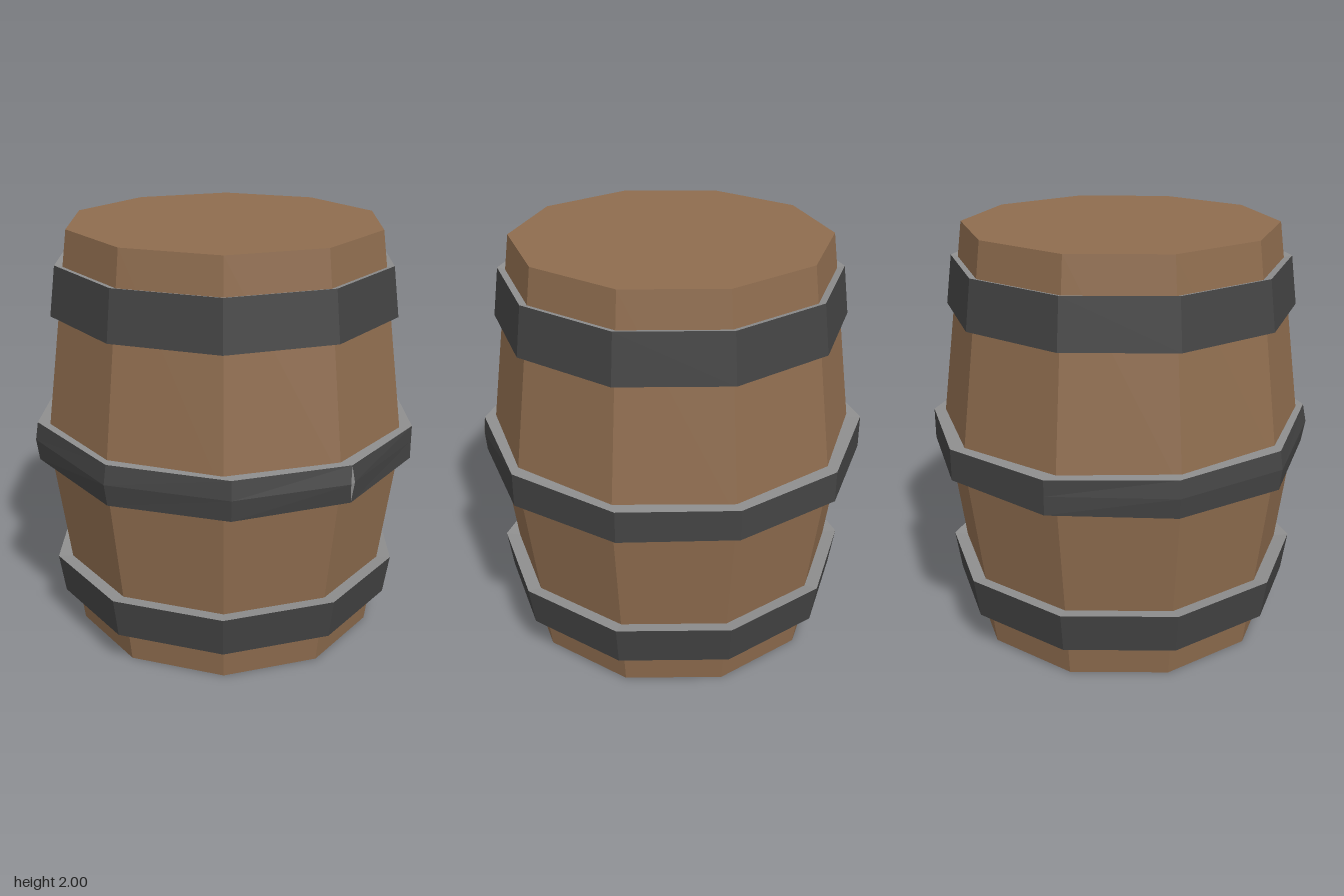
import * as THREE from 'three';

const SIDES = 10;
const material = (color) => new THREE.MeshStandardMaterial({
  color, flatShading: true, roughness: 0.9, side: THREE.DoubleSide,
});

// Ten-sided surface of revolution with a corner on the x axis
function turned(name, profile, mat) {
  const points = profile.map(([r, y]) => new THREE.Vector2(r, y));
  const mesh = new THREE.Mesh(new THREE.LatheGeometry(points, SIDES, Math.PI / 2), mat);
  mesh.name = name;
  return mesh;
}

// Skin between columns of points, each column running bottom to top
function skin(name, columns, mat) {
  const pos = [];
  for (let i = 0; i < columns.length - 1; i++) {
    const p = columns[i], q = columns[i + 1];
    for (let j = 0; j < p.length - 1; j++) {
      for (const v of [p[j], q[j], q[j + 1], p[j], q[j + 1], p[j + 1]]) pos.push(...v);
    }
  }
  const geo = new THREE.BufferGeometry();
  geo.setAttribute('position', new THREE.Float32BufferAttribute(pos, 3));
  geo.computeVertexNormals();
  const mesh = new THREE.Mesh(geo, mat);
  mesh.name = name;
  return mesh;
}

// Sloping hoop: dark outer face, pale top and bottom edges
function hoop(name, rLow, yLow, rHigh, yHigh, inLow, inHigh, dark, pale) {
  const group = new THREE.Group();
  group.name = name;
  group.add(
    turned(name + 'Face', [[rLow, yLow], [rHigh, yHigh]], dark),
    turned(name + 'TopEdge', [[rHigh, yHigh], [inHigh, yHigh - 0.01]], pale),
    turned(name + 'BottomEdge', [[inLow, yLow + 0.01], [rLow, yLow]], pale),
  );
  group.position.x = -0.003;
  return group;
}

// Hand-bent middle hoop, closed by a small split at the front
function middleHoop(dark, pale) {
  // x, z, outward bulge at half height
  const corners = [
    [-0.265, 0.885, 1.01], [0.32, 0.87, 1], [0.77, 0.52, 1], [0.93, 0, 1],
    [0.77, -0.53, 1], [0.32, -0.88, 1], [-0.26, -0.89, 1.012], [-0.725, -0.575, 1.015],
    [-0.912, 0.03, 1.02], [-0.72, 0.565, 1.015], [-0.265, 0.885, 1.01],
  ];
  const last = corners.length - 1;
  const face = [], top = [], bottom = [];
  corners.forEach(([x, z, bulge], i) => {
    const yTop = 1.07 - 0.011 * x, yBottom = 0.897 + 0.014 * x;
    const split = i === 0 ? 0.016 : i === last ? -0.016 : 0;
    const k = 0.86 / Math.hypot(x, z);
    face.push([[x, yBottom, z], [x * bulge + split, 0.99, z * bulge], [x, yTop, z]]);
    top.push([[x, yTop, z], [x * k, yTop, z * k]]);
    bottom.push([[x * k, yBottom, z * k], [x, yBottom, z]]);
  });
  const group = new THREE.Group();
  group.name = 'middleHoop';
  group.add(
    skin('middleHoopFace', face, dark),
    skin('middleHoopTopEdge', top, pale),
    skin('middleHoopBottomEdge', bottom, pale),
    skin('hoopSplit', [face[last], face[0]], pale),
  );
  return group;
}

export function createModel() {
  const wood = material(0x8f6d4f);
  const iron = material(0x444444);
  const ironEdge = material(0x8f8f8f);
  const barrel = new THREE.Group();
  barrel.name = 'barrel';

  // Staves with closed ends
  barrel.add(turned('barrelBody', [[0, 0], [0.75, 0], [0.882, 0.99], [0.75, 2], [0, 2]], wood));

  // Iron hoops
  barrel.add(
    hoop('upperHoop', 0.838, 1.605, 0.808, 1.84, 0.79, 0.765, iron, ironEdge),
    middleHoop(iron, ironEdge),
    hoop('lowerHoop', 0.838, 0.175, 0.867, 0.37, 0.765, 0.79, iron, ironEdge),
  );
  return barrel;
}
